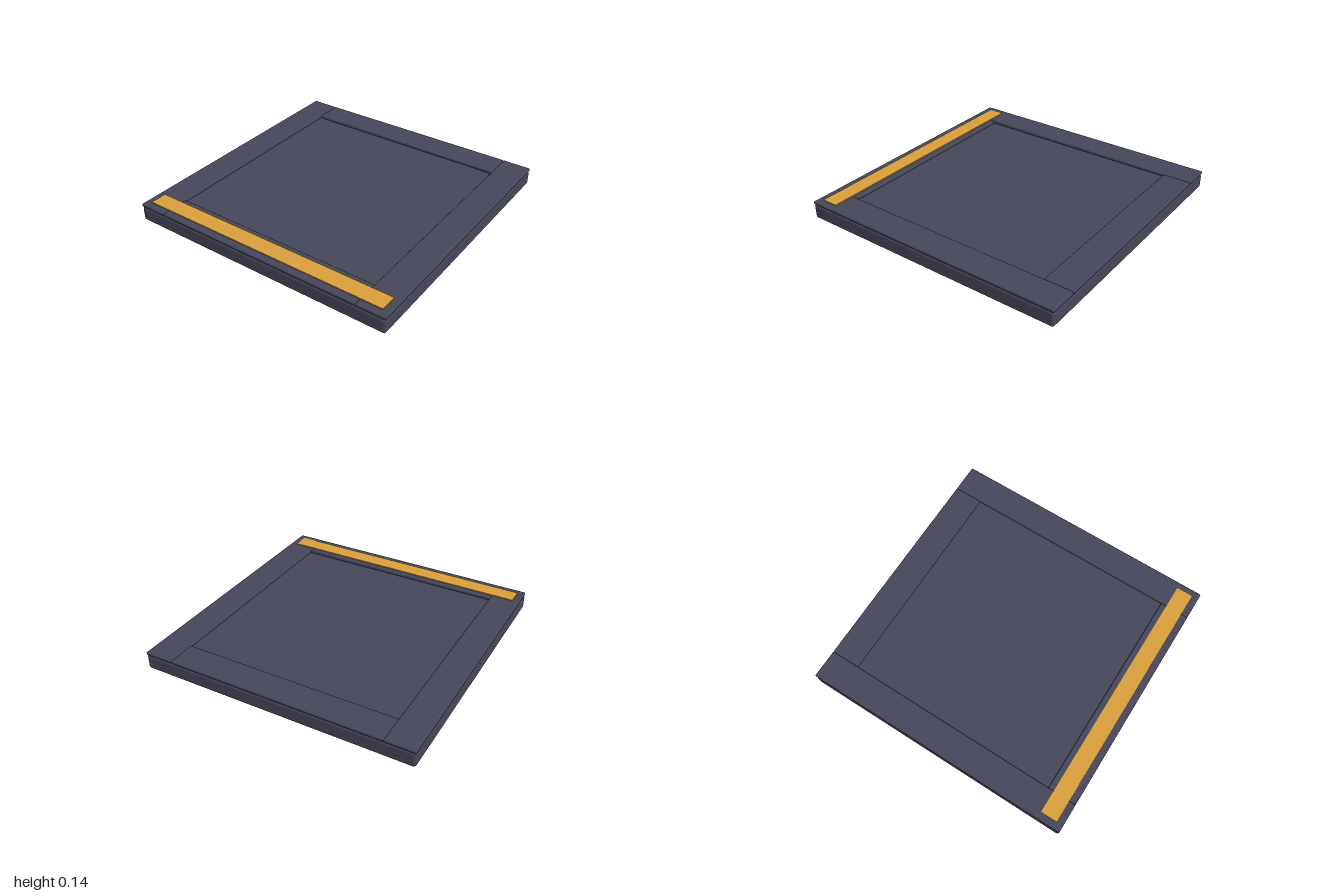
import * as THREE from 'three';
import { RoundedBoxGeometry } from 'three/addons/geometries/RoundedBoxGeometry.js';

export function createModel() {
  const model = new THREE.Group();
  model.name = 'floorTile';
  const slate = new THREE.MeshStandardMaterial({ color: 0x46465a });
  const amber = new THREE.MeshStandardMaterial({ color: 0xd99e3a });

  const add = (name, geometry, material, x, y, z) => {
    const mesh = new THREE.Mesh(geometry, material);
    mesh.name = name;
    mesh.position.set(x, y, z);
    model.add(mesh);
  };

  // Thick slab with softened edges
  add('baseSlab', new RoundedBoxGeometry(2, 0.112, 2, 4, 0.02), slate, 0, 0.056, 0);

  // Raised border: full-width front and back rails, shorter side rails between them
  const rail = 0.212, railHeight = 0.022, railY = 0.121;
  for (const s of [1, -1]) {
    add(s > 0 ? 'frontRail' : 'backRail',
      new RoundedBoxGeometry(2, railHeight, rail, 3, 0.008), slate, 0, railY, s * (1 - rail / 2));
    add(s > 0 ? 'leftRail' : 'rightRail',
      new RoundedBoxGeometry(rail, railHeight, 2 - 2 * rail, 3, 0.008), slate, s * (1 - rail / 2), railY, 0);
  }

  // Painted marking strip along the right side
  add('markingStrip', new THREE.BoxGeometry(0.12, 0.008, 1.9), amber, -0.89, 0.135, 0);

  return model;
}
